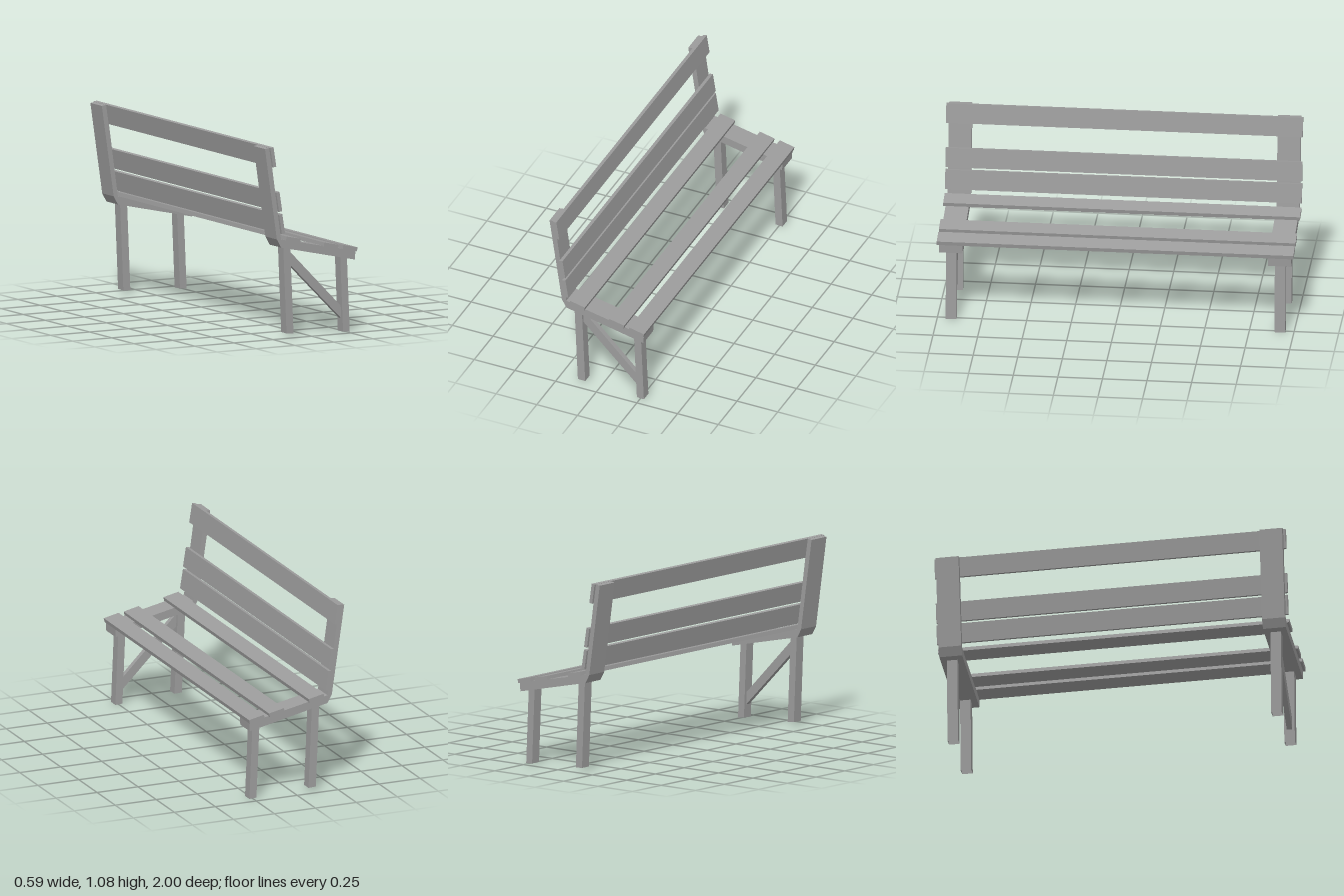
import * as THREE from 'three';

const material = new THREE.MeshStandardMaterial({
  color: 0x9c9c9c, flatShading: true, side: THREE.DoubleSide,
});

function part(name, geometry) {
  const mesh = new THREE.Mesh(geometry, material);
  mesh.name = name;
  return mesh;
}

// Side profile in x/y, extruded along z from z0 to z1
function prism(name, points, z0, z1) {
  const shape = new THREE.Shape(points.map(([x, y]) => new THREE.Vector2(x, y)));
  const geometry = new THREE.ExtrudeGeometry(shape, { depth: z1 - z0, bevelEnabled: false });
  return part(name, geometry.translate(0, 0, z0));
}

// Full-length board, tilted about z
function slat(name, x, y, width, thickness, angle) {
  const mesh = part(name, new THREE.BoxGeometry(width, thickness, 2));
  mesh.position.set(x, y, 0);
  mesh.rotation.z = angle;
  return mesh;
}

// Raked square leg, open at its ends
function leg(name, x, y, z, width, height) {
  const geometry = new THREE.CylinderGeometry(Math.SQRT1_2, Math.SQRT1_2, 1, 4, 1, true)
    .rotateY(Math.PI / 4)
    .scale(width, height, 0.06)
    .applyMatrix4(new THREE.Matrix4().makeShear(-0.06, 0, -0.043, 0, 0, 0))
    .translate(x, y, z);
  return part(name, geometry);
}

export function createModel() {
  const bench = new THREE.Group();
  bench.name = 'bench';

  // Three boards on the sloping seat
  [[-0.118, 0.554], [0.124, 0.502], [0.246, 0.479]].forEach(([x, y], i) =>
    bench.add(slat(`seatSlat${i + 1}`, x, y, 0.093, 0.023, -0.215)));

  // Three boards on the reclined back
  [[-0.247, 1.028], [-0.209, 0.774], [-0.191, 0.648]].forEach(([x, y], i) =>
    bench.add(slat(`backSlat${i + 1}`, x, y, 0.112, 0.021, -1.412)));

  // Bent plank at each end: back post, chamfered elbow and seat support
  const post = [[-0.293, 1.077], [-0.217, 0.561], [-0.19, 0.559], [-0.263, 1.081]];
  const elbow = [[-0.217, 0.561], [-0.19, 0.513], [-0.19, 0.559]];
  const support = [[-0.19, 0.513], [0.284, 0.41], [0.287, 0.46], [-0.19, 0.559]];
  const brace = [[-0.107, 0.407], [0.224, 0.077], [0.221, 0.148], [-0.11, 0.483]];

  for (const side of [1, -1]) {
    const end = new THREE.Group();
    end.name = side > 0 ? 'nearEndFrame' : 'farEndFrame';
    const z0 = side > 0 ? 0.857 : -0.987;
    end.add(
      prism('backPost', post, z0, z0 + 0.13),
      prism('elbow', elbow, z0, z0 + 0.13),
      prism('seatSupport', support, z0, z0 + 0.13),
      leg('rearLeg', -0.123, 0.261, side * 0.922, 0.045, 0.485),
      leg('frontLeg', 0.24, 0.215, side * 0.922, 0.043, 0.427),
    );
    // Diagonal brace on one end only
    if (side > 0) end.add(prism('diagonalBrace', brace, 0.907, 0.937));
    bench.add(end);
  }
  return bench;
}
